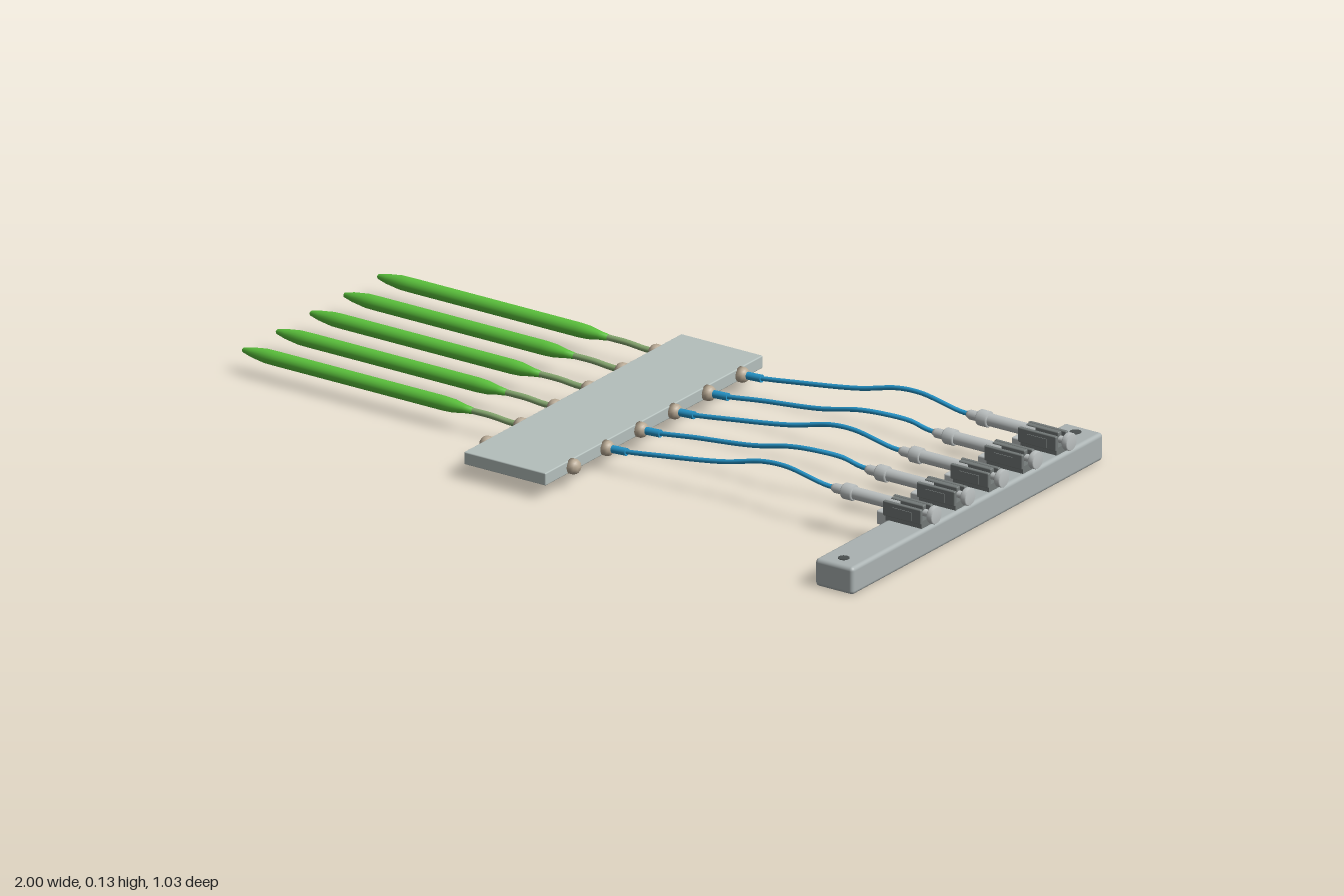
import * as THREE from 'three';
import { RoundedBoxGeometry } from 'three/addons/geometries/RoundedBoxGeometry.js';

const mat = (name, color) => new THREE.MeshStandardMaterial({ name, color });

export function createModel() {
  const M = {
    plate: mat('plate grey', 0xb4bfbc),
    bar: mat('bar grey', 0xaab2b2),
    metal: mat('light metal', 0xbcc1c1),
    dark: mat('dark metal', 0x737978),
    hole: mat('hole dark', 0x4a4f4f),
    tan: mat('tan fitting', 0xb8a994),
    blue: mat('blue tube', 0x2594c8),
    green: mat('bright green', 0x5bc23c),
    stem: mat('muted green', 0x86a870),
  };
  const model = new THREE.Group();
  model.name = 'manifoldAssembly';

  const add = (parent, name, geometry, material, x = 0, y = 0, z = 0) => {
    const mesh = new THREE.Mesh(geometry, material);
    mesh.name = name;
    mesh.position.set(x, y, z);
    parent.add(mesh);
    return mesh;
  };
  // Box given by its limits along x and y, and centre and width along z
  const box = (parent, name, material, x0, x1, y0, y1, z, w, r = 0) => add(parent, name,
    r ? new RoundedBoxGeometry(x1 - x0, y1 - y0, w, 3, r) : new THREE.BoxGeometry(x1 - x0, y1 - y0, w),
    material, (x0 + x1) / 2, (y0 + y1) / 2, z);
  // Round part lying along x, from a profile of [x, radius]
  const turned = (parent, name, material, profile, y, z = 0, sides = 20) => {
    const points = profile.map(([x, r]) => new THREE.Vector2(r, x));
    const geometry = new THREE.LatheGeometry(points, sides).rotateZ(-Math.PI / 2);
    return add(parent, name, geometry, material, 0, y, z);
  };
  const rod = (parent, name, material, x0, x1, r, y, z = 0) => add(parent, name,
    new THREE.CylinderGeometry(r, r, x1 - x0, 20).rotateZ(-Math.PI / 2), material, (x0 + x1) / 2, y, z);

  // Manifold plate and the bar that carries the clamps
  box(model, 'manifoldPlate', M.plate, -0.19, 0.045, 0.036, 0.068, -0.007, 0.895, 0.003);
  box(model, 'mountingBar', M.bar, 0.87, 0.98, 0, 0.07, -0.003, 1.033, 0.01);
  for (const z of [-0.482, 0.472]) {
    add(model, 'barHole', new THREE.CylinderGeometry(0.014, 0.014, 0.003, 20), M.hole, 0.925, 0.07, z);
  }

  // Domed fittings on both long edges of the plate
  const pitch = 0.139, firstZ = -0.36, portY = 0.052;
  for (let i = 0; i < 6; i++) {
    const z = firstZ + i * pitch;
    turned(model, 'inletFitting', M.tan,
      [[-0.214, 0], [-0.213, 0.009], [-0.207, 0.016], [-0.2, 0.019], [-0.188, 0.019], [-0.188, 0]], portY, z);
    turned(model, 'outletFitting', M.tan,
      [[0.043, 0], [0.043, 0.019], [0.055, 0.019], [0.062, 0.016], [0.068, 0.009], [0.069, 0]], portY, z);
  }

  for (let i = 0; i < 5; i++) {
    const line = new THREE.Group();
    line.name = 'line' + (i + 1);
    line.position.z = firstZ + i * pitch;
    model.add(line);

    // Pointed green spindle and its stem
    turned(line, 'spindle', M.green,
      [[-1, 0], [-0.995, 0.006], [-0.97, 0.012], [-0.93, 0.0175], [-0.9, 0.018], [-0.42, 0.018],
        [-0.39, 0.0165], [-0.36, 0.011], [-0.335, 0.008], [-0.335, 0]], 0.056);
    const stemPath = new THREE.CatmullRomCurve3([[-0.34, 0.056], [-0.28, 0.056], [-0.23, 0.052], [-0.2, 0.052]]
      .map(([x, y]) => new THREE.Vector3(x, y, 0)));
    add(line, 'stem', new THREE.TubeGeometry(stemPath, 12, 0.0075, 10), M.stem);

    // Flexible tube, bowing alternately to each side
    const bow = i % 2 ? 1 : -1;
    const path = new THREE.CatmullRomCurve3([
      [0.06, 0.052, 0], [0.11, 0.056, 0], [0.2, 0.068, 0], [0.38, 0.092, 0.008], [0.49, 0.117, 0.013],
      [0.56, 0.122, 0.009], [0.63, 0.117, -0.002], [0.68, 0.107, -0.001], [0.72, 0.105, 0],
    ].map(([x, y, z]) => new THREE.Vector3(x, y, z * bow)));
    add(line, 'flexibleTube', new THREE.TubeGeometry(path, 60, 0.0058, 10), M.blue);
    rod(line, 'tubeSleeve', M.blue, 0.06, 0.108, 0.0095, 0.054).rotation.z = 0.05;

    // Connector: nozzle, collar and barrel
    turned(line, 'nozzle', M.metal, [[0.7, 0], [0.7, 0.008], [0.708, 0.012], [0.74, 0.012]], 0.105);
    turned(line, 'collar', M.metal,
      [[0.733, 0], [0.733, 0.017], [0.737, 0.02], [0.761, 0.02], [0.765, 0.017], [0.765, 0]], 0.105);
    rod(line, 'barrel', M.metal, 0.762, 0.9, 0.0155, 0.105);

    // Clamp on the bar, with side rails and a hook on the inner face
    box(line, 'clampBase', M.dark, 0.868, 0.972, 0.068, 0.088, 0, 0.046);
    box(line, 'clampHook', M.metal, 0.836, 0.874, 0.048, 0.083, 0, 0.03, 0.004);
    for (const side of [-1, 1]) {
      box(line, 'clampRail', M.dark, 0.862, 0.972, 0.08, 0.118, side * 0.021, 0.01, 0.003);
      box(line, 'clampEar', M.dark, 0.89, 0.945, 0.085, 0.107, side * 0.025, 0.006);
    }
    box(line, 'clampBridge', M.dark, 0.872, 0.966, 0.1, 0.122, 0, 0.014, 0.003);

    // Plunger and its round thumb knob
    rod(line, 'plunger', M.metal, 0.9, 0.988, 0.009, 0.103);
    turned(line, 'thumbKnob', M.metal,
      [[0.984, 0], [0.984, 0.02], [0.987, 0.022], [0.997, 0.022], [1, 0.02], [1, 0]], 0.103);
  }
  return model;
}
